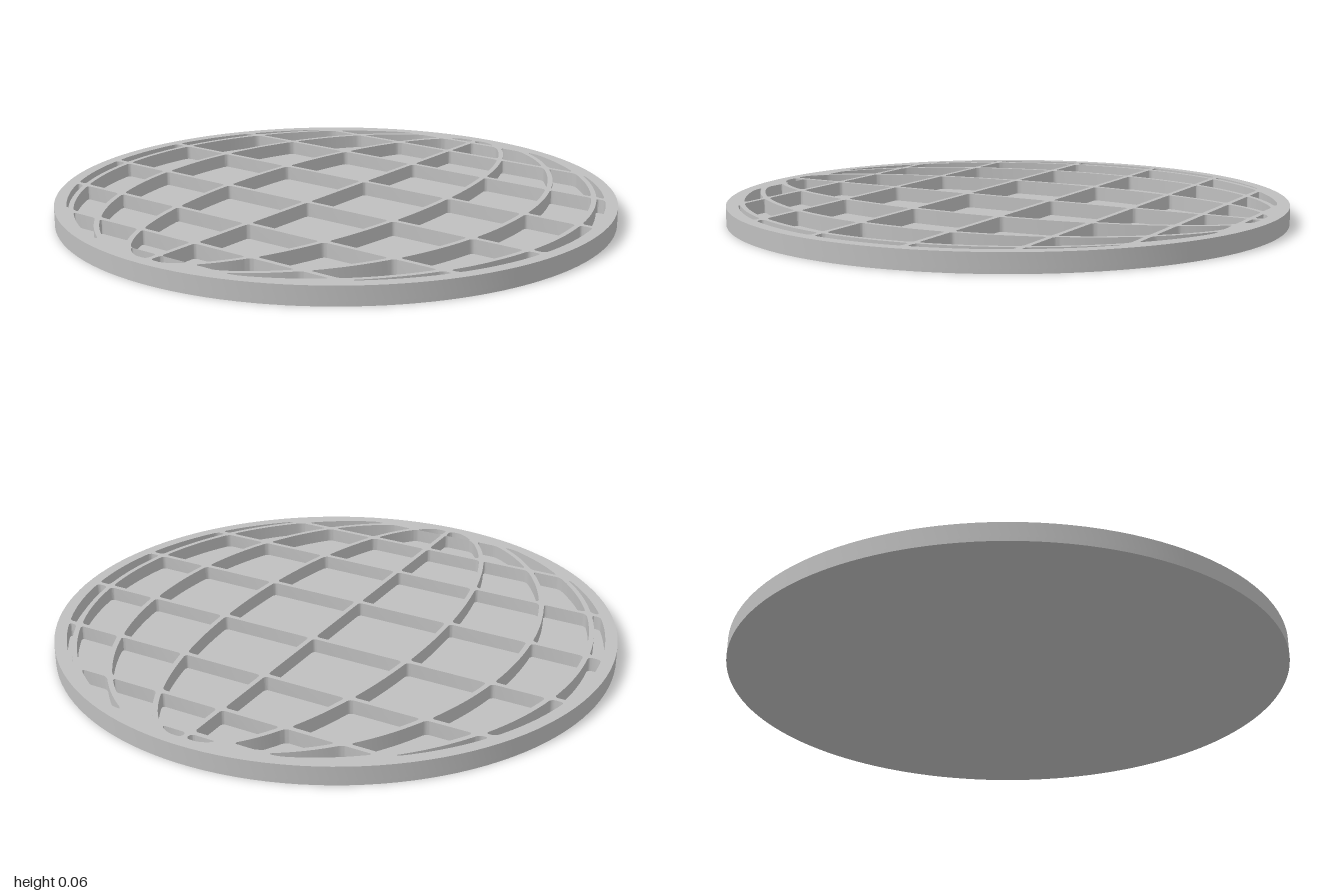
import * as THREE from 'three';
import { toCreasedNormals } from 'three/addons/utils/BufferGeometryUtils.js';

const GLOBE_R = 0.975;   // radius of the drawn globe
const CLIP_R = 0.957;    // inner edge of the plain rim
const HALF_BAR = 0.009;  // half the rib width
const CORNER = 0.014;    // pocket corner radius
const HEIGHT = 0.065;
const FLOOR = 0.015;
const TILT = THREE.MathUtils.degToRad(17.3);
const STEPS = 28;

const sinDeg = (a) => Math.sin(THREE.MathUtils.degToRad(a));

// Outline of one pocket between two parallels (v0, v1) and two meridians (s0, s1)
function pocketOutline(v0, v1, s0, s1) {
  const inner = [], outer = [];
  for (let i = 0; i <= STEPS; i++) {
    const v = v0 + (v1 - v0) * (1 - Math.cos(Math.PI * i / STEPS)) / 2;
    const w = Math.sqrt(GLOBE_R ** 2 - v * v);
    const gap = (s) => HALF_BAR * Math.hypot(1, s * v / w);
    const d = Math.min(v - v0, v1 - v, CORNER);
    const round = CORNER - Math.sqrt(Math.max(0, CORNER ** 2 - (CORNER - d) ** 2));
    const a = s0 * w + gap(s0) + round;
    const b = Math.min(s1 * w - gap(s1), Math.sqrt(CLIP_R ** 2 - v * v)) - round;
    if (b - a < 0.008) continue;
    inner.push([a, v]);
    outer.unshift([b, v]);
  }
  return inner.length > 4 ? [...inner, ...outer] : null;
}

// Turn globe coordinates into tilted disc coordinates
function tilted([u, v]) {
  const c = Math.cos(TILT), s = Math.sin(TILT);
  return new THREE.Vector2(u * c + v * s, -u * s + v * c);
}

export function createModel() {
  const group = new THREE.Group();
  group.name = 'globeGridDisc';
  const grey = new THREE.MeshStandardMaterial({ color: 0xbfbfbf });
  grey.name = 'grey';

  // Ribs and rim: a disc with all pockets cut through
  const disc = new THREE.Shape();
  disc.absarc(0, 0, 1, 0, Math.PI * 2, false);
  const parallels = [-70, -50, -30, -10, 10, 30, 50, 70].map((a) => GLOBE_R * sinDeg(a));
  const rows = [[-0.955, parallels[0] + HALF_BAR]];
  for (let i = 0; i < 7; i++) rows.push([parallels[i] + HALF_BAR, parallels[i + 1] - HALF_BAR]);
  rows.push([parallels[7] + HALF_BAR, 0.955]);

  rows.forEach(([v0, v1], row) => {
    const columns = row === 0 || row === 8 ? 1 : 4;
    for (let k = 0; k < columns; k++) {
      const outline = pocketOutline(v0, v1, sinDeg(22.5 * k), sinDeg(22.5 * (k + 1)));
      if (!outline) continue;
      for (const side of [1, -1]) {
        disc.holes.push(new THREE.Path(outline.map(([u, v]) => tilted([u * side, v]))));
      }
    }
  });

  const ribGeometry = new THREE.ExtrudeGeometry(disc, {
    depth: HEIGHT - FLOOR, bevelEnabled: false, curveSegments: 64,
  });
  ribGeometry.rotateX(-Math.PI / 2);
  ribGeometry.translate(0, FLOOR, 0);
  const ribs = new THREE.Mesh(toCreasedNormals(ribGeometry, 0.5), grey);
  ribs.name = 'ribsAndRim';
  group.add(ribs);

  // Solid base under the pockets
  const base = new THREE.Mesh(new THREE.CylinderGeometry(1, 1, FLOOR, 128), grey);
  base.name = 'base';
  base.position.y = FLOOR / 2;
  group.add(base);

  return group;
}
